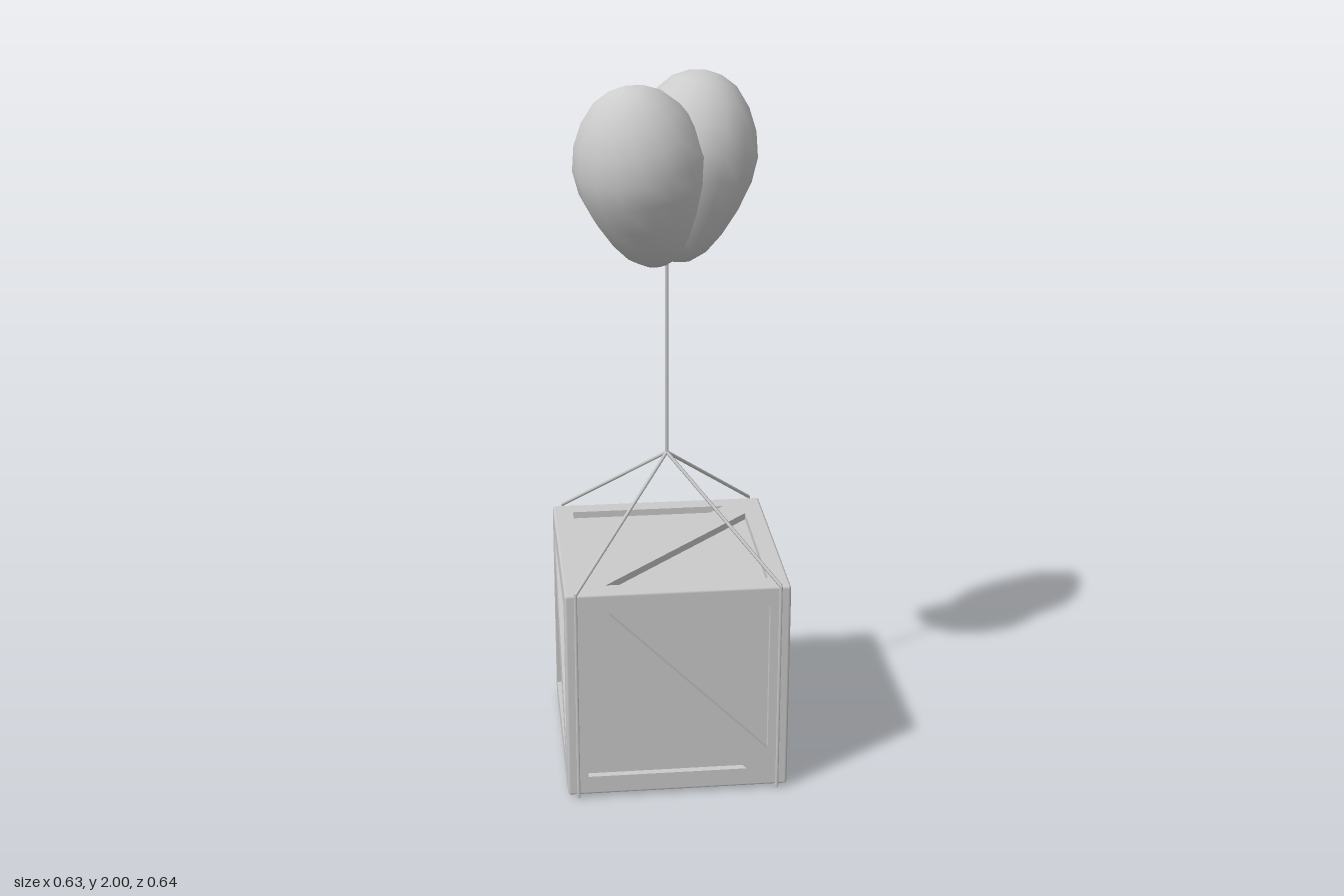
import * as THREE from 'three';

const HALF = 0.315, EDGE = 0.008, FACE = HALF - EDGE, RECESS = 0.02;
const CENTRE_Y = 0.325, ROPE_R = 0.005;

const material = new THREE.MeshStandardMaterial({ color: 0xcccccc });
const shellMaterial = new THREE.MeshStandardMaterial({ color: 0xcccccc, side: THREE.DoubleSide });

function addMesh(parent, name, geometry, mat = material) {
  const mesh = new THREE.Mesh(geometry, mat);
  mesh.name = name;
  parent.add(mesh);
  return mesh;
}

function polygon(Type, points) {
  return new Type(points.map(([x, y]) => new THREE.Vector2(x, y)));
}

// Square frame with a diagonal brace: a plate with two triangular openings
function panelGeometry() {
  const inner = 0.257, cut = 0.197;
  const shape = polygon(THREE.Shape, [[-FACE, -FACE], [FACE, -FACE], [FACE, FACE], [-FACE, FACE]]);
  shape.holes.push(
    polygon(THREE.Path, [[-inner, -inner], [-inner, cut], [cut, -inner]]),
    polygon(THREE.Path, [[inner, inner], [inner, -cut], [-cut, inner]])
  );
  const geometry = new THREE.ExtrudeGeometry(shape, { depth: RECESS, bevelEnabled: false });
  return geometry.translate(0, 0, HALF - RECESS);
}

function createCrate() {
  const crate = new THREE.Group();
  crate.name = 'crate';
  crate.position.y = CENTRE_Y;
  const core = 2 * (HALF - RECESS);
  addMesh(crate, 'crateCore', new THREE.BoxGeometry(core, core, core));

  // Four side panels, then the lid and the floor
  const panel = panelGeometry();
  for (let i = 0; i < 4; i++) addMesh(crate, 'sidePanel', panel).rotation.y = i * Math.PI / 2;
  const lid = panel.clone().rotateZ(Math.PI / 2).rotateX(-Math.PI / 2);
  addMesh(crate, 'lidPanel', lid);
  addMesh(crate, 'floorPanel', panel.clone().rotateX(Math.PI / 2));

  // Rounded edges and corners
  const edge = new THREE.CylinderGeometry(EDGE, EDGE, 2 * FACE, 8, 1, true);
  const corner = new THREE.SphereGeometry(EDGE, 8, 6);
  for (const a of [-FACE, FACE]) {
    for (const b of [-FACE, FACE]) {
      addMesh(crate, 'crateEdge', edge).position.set(a, 0, b);
      const alongX = addMesh(crate, 'crateEdge', edge);
      alongX.rotation.z = Math.PI / 2;
      alongX.position.set(0, a, b);
      const alongZ = addMesh(crate, 'crateEdge', edge);
      alongZ.rotation.x = Math.PI / 2;
      alongZ.position.set(a, b, 0);
      for (const c of [-FACE, FACE]) addMesh(crate, 'crateCorner', corner).position.set(a, b, c);
    }
  }
  return crate;
}

// Straight rope segments through a list of points
function addRope(parent, name, points) {
  const up = new THREE.Vector3(0, 1, 0);
  for (let i = 1; i < points.length; i++) {
    const a = new THREE.Vector3(...points[i - 1]), b = new THREE.Vector3(...points[i]);
    const dir = b.clone().sub(a);
    const rope = addMesh(parent, name, new THREE.CylinderGeometry(ROPE_R, ROPE_R, dir.length(), 6));
    rope.position.copy(a).add(b).multiplyScalar(0.5);
    rope.quaternion.setFromUnitVectors(up, dir.normalize());
  }
}

function createRopes() {
  const ropes = new THREE.Group();
  ropes.name = 'ropes';
  const apex = [0, 0.928, 0], z = 0.317, top = 0.642, bottom = ROPE_R;
  // Each sling runs from the knot down the front, under the crate and up the back
  for (const x of [-0.285, 0.285]) {
    addRope(ropes, 'sling', [apex, [x, top, z], [x, bottom, z], [x, bottom, -z], [x, top, -z], apex]);
  }
  addRope(ropes, 'mainRope', [apex, [0, 1.485, 0]]);
  return ropes;
}

// Open half-balloon shells, leaning apart from the rope
function createBalloons() {
  const balloons = new THREE.Group();
  balloons.name = 'balloons';
  const profile = [
    [0, 0], [0.045, 0.01], [0.087, 0.045], [0.122, 0.1], [0.153, 0.17], [0.177, 0.25],
    [0.182, 0.32], [0.165, 0.39], [0.134, 0.45], [0.09, 0.5], [0.045, 0.523], [0, 0.53]
  ].map(([r, h]) => new THREE.Vector2(r, h));
  const shell = new THREE.LatheGeometry(profile, 8, -Math.PI / 2, Math.PI);

  const front = addMesh(balloons, 'frontBalloon', shell, shellMaterial);
  front.position.set(-0.02, 1.482, -0.02);
  front.rotation.set(0.185, 0, 0.185);

  const back = addMesh(balloons, 'backBalloon', shell, shellMaterial);
  back.position.set(0.02, 1.482, -0.025);
  back.rotation.set(-0.137, 0, -0.185);
  return balloons;
}

export function createModel() {
  const model = new THREE.Group();
  model.name = 'balloonCrate';
  model.add(createCrate(), createRopes(), createBalloons());
  return model;
}
